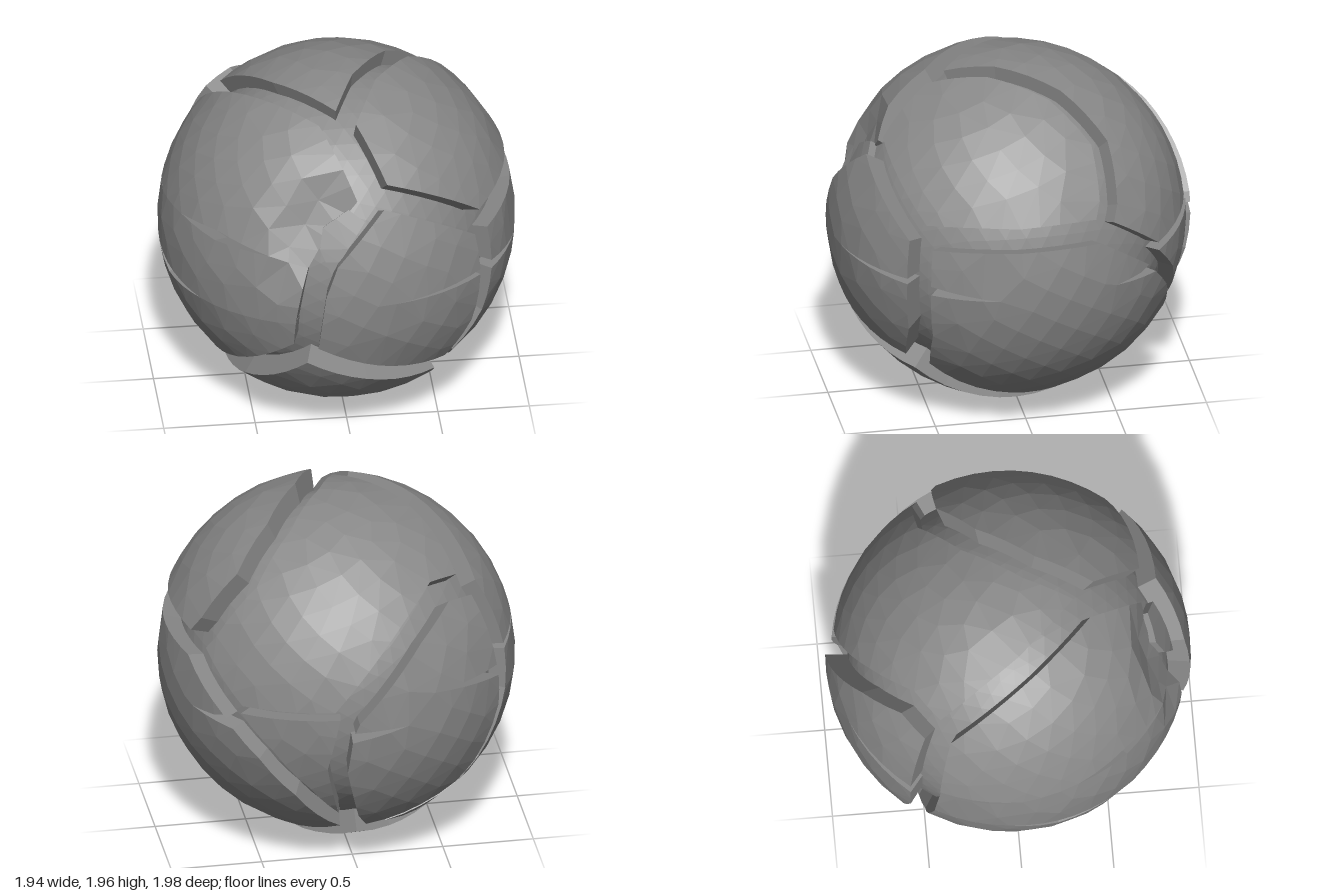
import * as THREE from 'three';
import { ConvexGeometry } from 'three/addons/geometries/ConvexGeometry.js';

const GAP = 0.07;      // half width of the main grooves
const CORE = 0.875;    // radius of the groove floor
const stone = new THREE.MeshStandardMaterial({ color: 0x888888, flatShading: true });

// evenly scattered directions that give the caps their facets
const scatter = Array.from({ length: 520 }, (_, i) =>
  new THREE.Vector3().setFromSphericalCoords(1, Math.acos(1 - (2 * i + 1) / 520), i * 2.39996));

// A shell plate: corners run counter-clockwise seen from outside, as [x, y, z, w],
// where w is how far the edge starting at that corner is pulled in.
// Near the optional sink direction the plate slopes down to the groove floor.
function plate(name, radius, corners, sink) {
  const n = corners.length;
  const v = corners.map(c => new THREE.Vector3(c[0], c[1], c[2]).normalize());
  const w = corners.map(c => c[3] ?? GAP);
  const normal = v.map((a, i) => a.clone().cross(v[(i + 1) % n]).normalize());
  const height = (p) => radius - (sink ? 0.093 * (1 - THREE.MathUtils.smoothstep(p.distanceTo(sink), 0.15, 0.42)) : 0);

  // pull the edges in
  const inset = v.map((p, i) => {
    const k = (i + n - 1) % n, w1 = w[k], w2 = w[i];
    if (!w1 && !w2) return p;
    const c = normal[k].dot(normal[i]);
    let a, b;
    if (c > 0.97) a = b = (w1 + w2) / 4;
    else { a = (w1 - w2 * c) / (1 - c * c); b = (w2 - w1 * c) / (1 - c * c); }
    return p.clone().addScaledVector(normal[k], a).addScaledVector(normal[i], b).normalize();
  });

  // outline along great circles
  const rim = [];
  inset.forEach((a, i) => {
    const b = inset[(i + 1) % n], steps = Math.max(1, Math.round(a.distanceTo(b) / 0.1));
    for (let s = 0; s < steps; s++) rim.push(a.clone().lerp(b, s / steps).normalize());
  });

  // flatten around the plate's centre to test what lies inside the outline
  const centre = rim.reduce((s, p) => s.add(p), new THREE.Vector3()).normalize();
  const ux = new THREE.Vector3(0.31, 0.9, 0.23).cross(centre).normalize(), uy = centre.clone().cross(ux);
  const flat = (p) => [p.dot(ux) / p.dot(centre), p.dot(uy) / p.dot(centre)];
  const outline = rim.map(flat);
  const inside = (p) => {
    if (p.dot(centre) < 0.05) return false;
    const [x, y] = flat(p);
    let hit = false;
    outline.forEach(([x1, y1], i) => {
      const [x2, y2] = outline[(i + 1) % outline.length];
      if ((y1 > y) !== (y2 > y) && x < x1 + (x2 - x1) * (y - y1) / (y2 - y1)) hit = !hit;
    });
    return hit;
  };

  const pos = [];
  const tri = (...pts) => pts.forEach(p => pos.push(p.x, p.y, p.z));

  // cap: facets of the hull of outline and scattered points
  const fill = scatter.filter(p => rim.every(q => q.distanceTo(p) > 0.085));
  const hull = new ConvexGeometry([...rim, ...fill]).attributes.position;
  for (let i = 0; i < hull.count; i += 3) {
    const t = [0, 1, 2].map(k => new THREE.Vector3().fromBufferAttribute(hull, i + k));
    const mid = t[0].clone().add(t[1]).add(t[2]).normalize();
    if (inside(mid)) tri(...t.map(p => p.clone().multiplyScalar(height(p))));
  }

  // walls down into the core
  rim.forEach((a, i) => {
    const b = rim[(i + 1) % rim.length];
    const [a1, b1] = [a, b].map(p => p.clone().multiplyScalar(height(p)));
    const [a0, b0] = [a, b].map(p => p.clone().multiplyScalar(CORE - 0.03));
    tri(a1, a0, b0);
    tri(a1, b0, b1);
  });

  const geo = new THREE.BufferGeometry();
  geo.setAttribute('position', new THREE.Float32BufferAttribute(pos, 3));
  geo.computeVertexNormals();
  const mesh = new THREE.Mesh(geo, stone);
  mesh.name = name;
  return mesh;
}

// reversed copy of a path, and a copy with a given pull-in width
const rev = (path) => [...path].reverse();
const wide = (path, w) => path.map(p => [p[0], p[1], p[2], w]);

export function createModel() {
  const group = new THREE.Group();
  group.name = 'crackedBall';
  const ball = new THREE.Group();
  ball.name = 'ball';
  ball.position.y = 1;
  group.add(ball);

  const core = new THREE.Mesh(new THREE.IcosahedronGeometry(CORE, 9), stone);
  core.name = 'core';
  ball.add(core);

  // groove junctions
  const K = [-0.02, 0.84, 0.45], A = [0.85, 0.3, -0.36], B = [0.14, 0.58, 0.75], C = [0.71, 0.28, 0.61];
  const D = [0.52, -0.58, 0.6], E = [-0.26, -0.28, 0.87], J = [0, -0.75, -0.62];
  const T = [-0.65, 0.57, -0.42], U = [0.1, 0.1, -0.95], V = [0.7, 0.06, -0.66];

  // groove paths between junctions
  const KA = [[0.13, 0.91, 0.12], [0.33, 0.84, -0.18], [0.54, 0.66, -0.38], [0.76, 0.42, -0.4]];
  const CA = [[0.88, 0.3, 0.1]];
  const DE = [[0.1, -0.46, 0.83]];
  const BE = [[-0.15, 0.28, 0.88], [-0.22, 0.1, 0.92]];
  const DJ = [[0.5, -0.72, 0.4], [0.45, -0.85, 0.1], [0.28, -0.87, -0.3]];
  const JV = [[0.32, -0.42, -0.83], [0.52, -0.17, -0.8]];
  const EJ = [[-0.59, -0.61, 0.48], [-0.65, -0.7, 0.1], [-0.53, -0.75, -0.25], [-0.24, -0.8, -0.46]];
  const KT = [[-0.39, 0.85, 0.07]];
  const TU = [[-0.46, 0.62, -0.58], [-0.27, 0.49, -0.8]];
  const UJ = [[0.17, -0.24, -0.92], [0.08, -0.6, -0.75]];
  const JT = [[-0.35, -0.64, -0.64], [-0.54, -0.54, -0.58], [-0.66, -0.42, -0.56], [-0.8, -0.1, -0.52]];

  // hairline seams that open into lens-shaped cracks on the side shell
  const upperSeam = (y) => wide([[-0.81, 0.17 + y * 0.6, -0.5], [-0.95, 0.22, 0], [-0.9, 0.27, 0.32],
    [-0.72, 0.285 + y, 0.58], [-0.47, 0.28, 0.82]], 0);
  const upperEnd = [-0.2, 0.2, 0.91];
  const lowerStart = [-0.8, -0.06, -0.52];
  const lowerSeam = (y) => wide([[-0.97, -0.08, -0.08], [-0.95, -0.15 + y, 0.2],
    [-0.82, -0.15, 0.54], [-0.6, -0.13, 0.77]], 0);
  const lowerEnd = [-0.25, -0.1, 0.9];
  const hollow = new THREE.Vector3(-0.12, 0.42, 0.89).normalize();

  const [backNotch, ...upperRest] = upperSeam(-0.03);

  ball.add(
    plate('upperPlate', 0.993, [K, B, C, ...CA, A, ...rev(KA)]),

    // front plate with a slit from its right edge
    plate('frontPlate', 0.995, [B, ...BE, E, ...DE, D, [0.68, -0.3, 0.6],
      [0.73, 0, 0.62, 0], [0.22, 0.02, 0.95, 0], [0.73, 0.035, 0.62], C]),

    // side plate with a slit from each end
    plate('sidePlate', 0.975, [C, [0.73, 0.02, 0.62, 0], [0.93, -0.03, 0.22, 0], [0.73, -0.04, 0.62],
      [0.68, -0.3, 0.6], D, ...DJ, J, ...JV, [0.6, -0.07, -0.74, 0], [0.86, -0.03, -0.43, 0],
      [0.64, 0, -0.71], V, A, ...CA]),

    plate('bottomPlate', 1.0, [E, ...EJ, J, ...rev(DJ), D, ...DE]),

    plate('topPlate', 0.96, [K, ...KA, A, [...V, 0.022], U, ...rev(TU), T, ...KT]),

    plate('lowerBackPlate', 0.965, [...wide([V, ...rev(JV), J, ...rev(UJ)], 0.04), [...U, 0.022]]),

    // back plate with slits on both edges
    plate('backPlate', 0.995, [T, ...TU, U, [0.14, 0.01, -0.95, 0], [-0.22, 0.02, -0.93, 0],
      [0.15, -0.06, -0.95], ...UJ, J, ...JT,
      [-0.8, 0.07, -0.52, 0], [-0.38, 0.17, -0.88, 0], [-0.79, 0.14, -0.52]]),

    // side shell in three bands
    plate('shellUpperBand', 0.973, [K, ...KT, T, ...upperSeam(0.03), upperEnd, BE[0], [...B, 0.11]], hollow),
    plate('shellMiddleBand', 0.973, [[...upperEnd, 0], ...rev(upperRest), backNotch.slice(0, 3),
      [...lowerStart, 0], ...lowerSeam(0.03), lowerEnd], hollow),
    plate('shellLowerBand', 0.973, [[...lowerEnd, 0], ...rev(lowerSeam(-0.03)), lowerStart,
      ...rev(JT).slice(1), J, ...rev(EJ), E]),

    // loose chip on the groove floor
    plate('chip', 0.918, wide([[-0.02, 0.54, 0.8], [-0.17, 0.45, 0.83], [-0.19, 0.33, 0.87],
      [-0.13, 0.19, 0.92], [0.07, 0.47, 0.83]], 0)),
  );
  return group;
}
